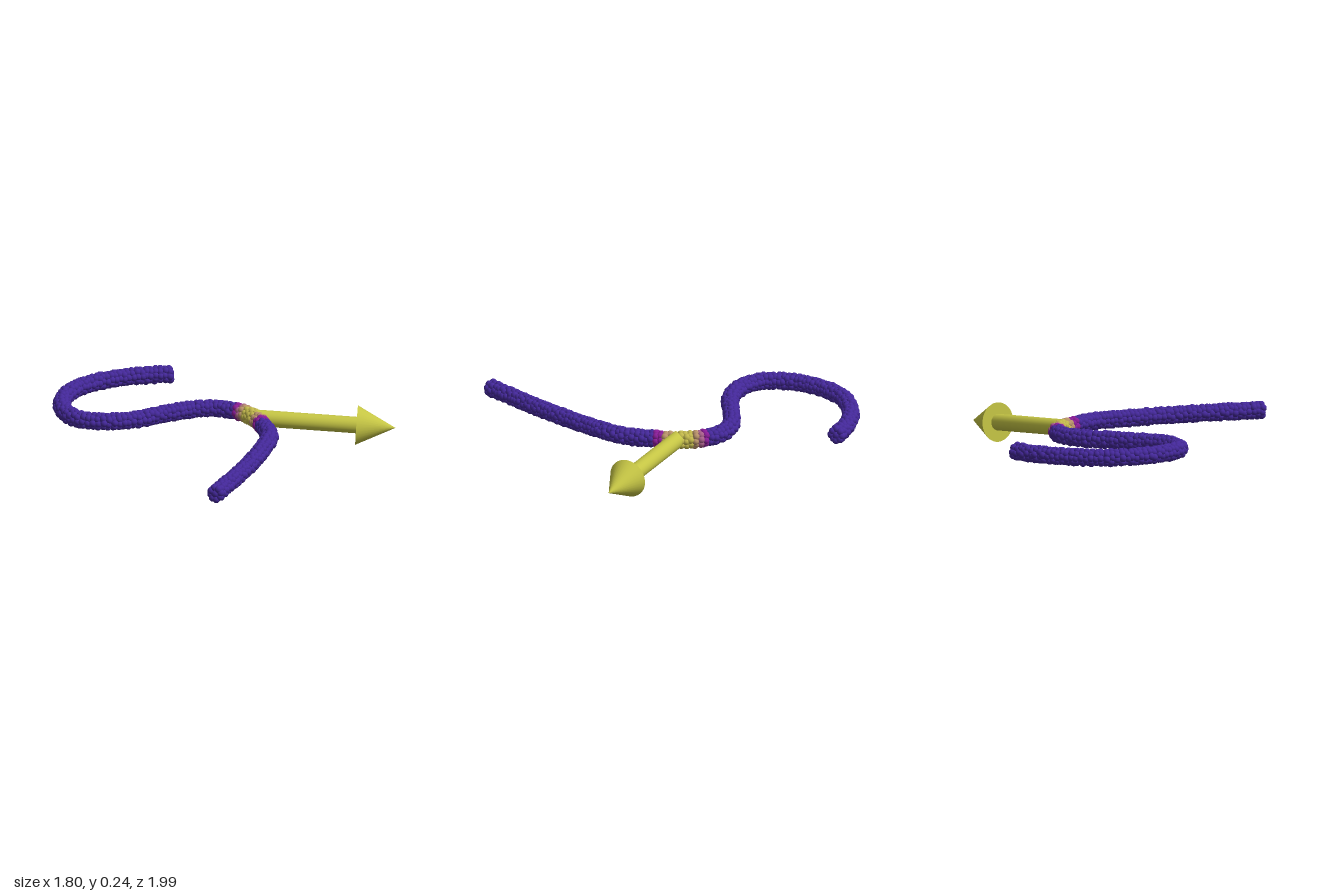
import * as THREE from 'three';
import { mergeGeometries } from 'three/addons/utils/BufferGeometryUtils.js';

const UP = new THREE.Vector3(0, 1, 0);
const CORD_Y = 0.163;

// Small seeded generator, returns -1..1
function seeded(seed) {
  return () => {
    seed = (seed * 1664525 + 1013904223) % 4294967296;
    return seed / 2147483648 - 1;
  };
}

// Centre line of the cord, as x, z pairs
const path = [
  [0.77, -0.64], [0.67, -0.75], [0.48, -0.88], [0.24, -0.945], [0.03, -0.9],
  [-0.15, -0.775], [-0.235, -0.62], [-0.2, -0.465], [-0.075, -0.33], [0.135, -0.23],
  [0.32, -0.14], [0.425, -0.03], [0.457, 0.105], [0.44, 0.21], [0.395, 0.31],
  [0.335, 0.39], [0.19, 0.55], [-0.025, 0.655], [-0.29, 0.755], [-0.55, 0.835], [-0.865, 0.918],
];

// Colour bands by distance from the arrow's foot
const bands = [
  { name: 'cordYellowBand', reach: 0.055, color: 0xc2b84c },
  { name: 'cordTanBand', reach: 0.1, color: 0xb8926a },
  { name: 'cordPinkBand', reach: 0.12, color: 0xa8608a },
  { name: 'cordMagentaBand', reach: 0.165, color: 0x8a1c98 },
  { name: 'cordPurple', reach: Infinity, color: 0x44289a },
];

// Cord: overlapping beads set in rings round the centre line
function makeCord() {
  const cord = new THREE.Group();
  cord.name = 'cord';
  const curve = new THREE.CatmullRomCurve3(path.map(([x, z]) => new THREE.Vector3(x, CORD_Y, z)));
  curve.arcLengthDivisions = 800;
  const rings = Math.round(curve.getLength() / 0.03);
  const perRing = 8;
  const hot = new THREE.Vector3(0.425, CORD_Y, 0.25);
  const rand = seeded(7);
  const bead = new THREE.SphereGeometry(1, 8, 6);
  const lists = bands.map(() => []);

  const addBead = (p, centre, r) => {
    const g = bead.clone().scale(r, r, r).translate(p.x, p.y, p.z);
    const d = centre.distanceTo(hot);
    lists[bands.findIndex((b) => d < b.reach)].push(g);
  };

  for (let i = 0; i <= rings; i++) {
    const c = curve.getPointAt(i / rings);
    const t = curve.getTangentAt(i / rings);
    const side = new THREE.Vector3().crossVectors(UP, t).normalize();
    for (let k = 0; k < perRing; k++) {
      const a = ((k + (i % 2) * 0.25) / perRing) * Math.PI * 2 + rand() * 0.1;
      const off = 0.034 + rand() * 0.003;
      const p = c.clone()
        .addScaledVector(side, Math.cos(a) * off)
        .addScaledVector(UP, Math.sin(a) * off)
        .addScaledVector(t, rand() * 0.006);
      addBead(p, c, 0.0235 + rand() * 0.0015);
    }
    // Filler bead closes each end
    if (i === 0 || i === rings) addBead(c, c, 0.028);
  }

  bands.forEach((b, i) => {
    const mesh = new THREE.Mesh(mergeGeometries(lists[i]), new THREE.MeshStandardMaterial({ color: b.color }));
    mesh.name = b.name;
    cord.add(mesh);
  });
  return cord;
}

// Arrow: round shaft and cone head, from its foot on the cord to its tip
function makeArrow() {
  const arrow = new THREE.Group();
  arrow.name = 'arrow';
  const foot = new THREE.Vector3(0.42, 0.167, 0.283);
  const tip = new THREE.Vector3(0.903, 0.112, 0.987);
  const dir = tip.clone().sub(foot);
  const length = dir.length();
  const headLength = 0.24;
  const shaftLength = length - headLength;
  const material = new THREE.MeshStandardMaterial({ color: 0xc4c444 });

  const shaft = new THREE.Mesh(new THREE.CylinderGeometry(0.051, 0.051, shaftLength, 32), material);
  shaft.name = 'arrowShaft';
  shaft.position.y = shaftLength / 2;
  const head = new THREE.Mesh(new THREE.ConeGeometry(0.122, headLength, 32), material);
  head.name = 'arrowHead';
  head.position.y = length - headLength / 2;

  arrow.add(shaft, head);
  arrow.position.copy(foot);
  arrow.quaternion.setFromUnitVectors(UP, dir.normalize());
  return arrow;
}

export function createModel() {
  const model = new THREE.Group();
  model.name = 'cordWithArrow';
  model.add(makeCord(), makeArrow());
  return model;
}
